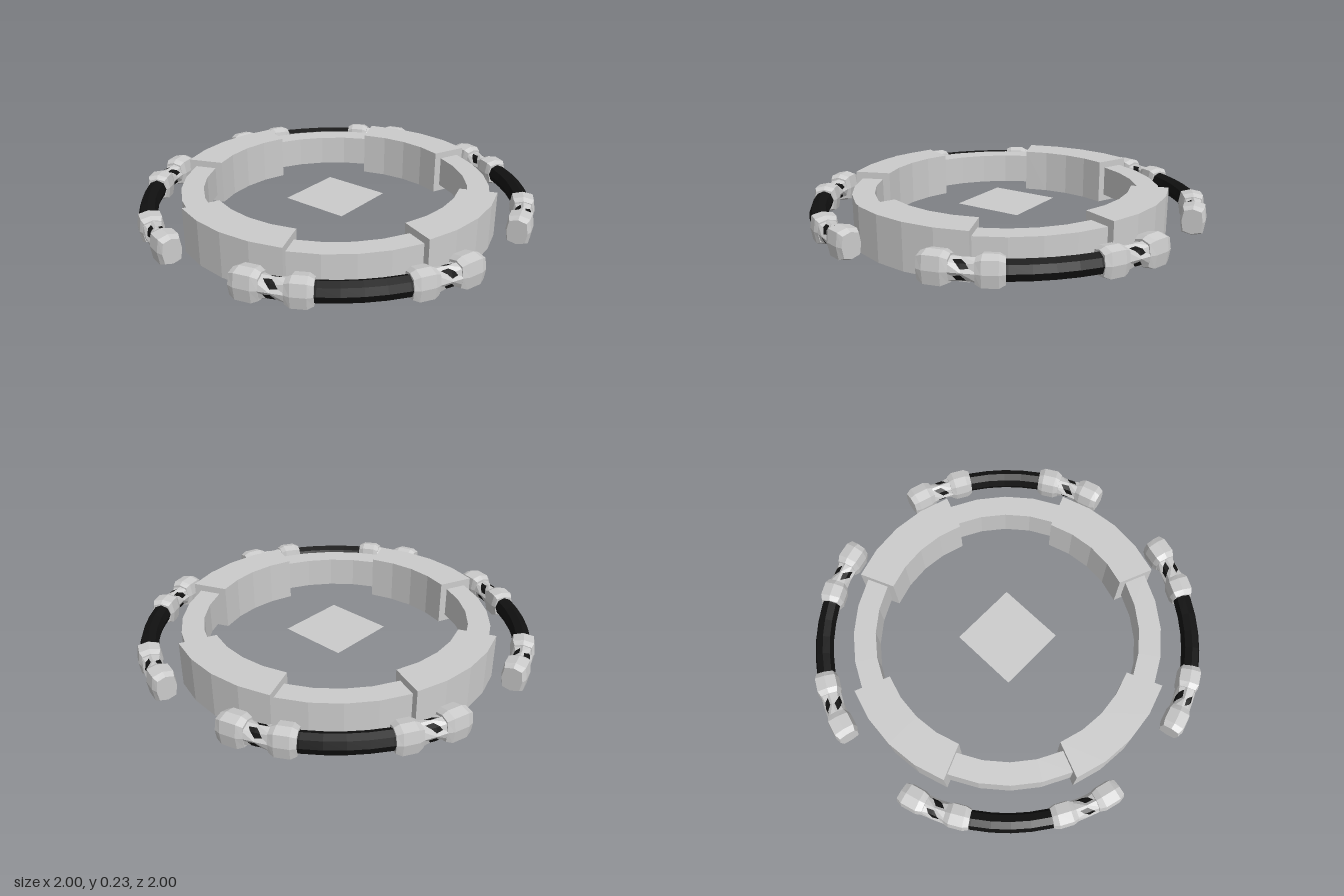
import * as THREE from 'three';

const MID = 0.115; // mid height of the whole model
const RAIL = 0.952; // centre radius of the outer rails
const grey = new THREE.MeshStandardMaterial({ color: 0xcccccc, flatShading: true });
const black = new THREE.MeshStandardMaterial({ color: 0x111111, flatShading: true });
const sheet = new THREE.MeshStandardMaterial({ color: 0xcccccc, side: THREE.DoubleSide });

// Sweeps sections round the y axis; stations are { deg, pts: [[radius, height], ...] }, deg rising from +z to +x.
function sweep(stations) {
  const n = stations[0].pts.length, last = (stations.length - 1) * n;
  const pos = [], idx = [];
  for (const { deg, pts } of stations) {
    const a = THREE.MathUtils.degToRad(deg);
    for (const [r, y] of pts) pos.push(r * Math.sin(a), y, r * Math.cos(a));
  }
  for (let k = 0; k < last; k += n) {
    for (let i = 0; i < n; i++) {
      const j = (i + 1) % n;
      idx.push(k + i, k + n + i, k + j, k + n + i, k + n + j, k + j);
    }
  }
  // end caps
  for (let i = 1; i < n - 1; i++) idx.push(0, i, i + 1, last, last + i + 1, last + i);
  const g = new THREE.BufferGeometry();
  g.setAttribute('position', new THREE.Float32BufferAttribute(pos, 3));
  g.setIndex(idx);
  g.computeVertexNormals();
  return g;
}

// Eight-sided section: half width, half height and how far the diagonals reach (0.71 round, 1 square).
function octagon(hr, hv, diag) {
  const pts = [];
  for (let i = 0; i < 8; i++) {
    const t = (i * Math.PI) / 4, s = i % 2 ? diag / Math.SQRT1_2 : 1;
    pts.push([RAIL + hr * s * Math.cos(t), MID + hv * s * Math.sin(t)]);
  }
  return pts;
}

// Constant section from one angle to another in equal steps
function arc(from, to, steps, pts) {
  return sweep(Array.from({ length: steps + 1 }, (_, i) => ({ deg: from + ((to - from) * i) / steps, pts })));
}

const rect = (inner, outer, h) => [[outer, MID - h], [outer, MID + h], [inner, MID + h], [inner, MID - h]];

// Stations [deg, half width, half height, diagonal], optionally mirrored to the other side
function loft(rows, mirror) {
  const list = rows.map(([deg, hr, hv, d]) => ({ deg: mirror ? -deg : deg, pts: octagon(hr, hv, d) }));
  return sweep(mirror ? list.reverse() : list);
}

function barrel(a, b, hv) {
  const d = b - a;
  return [[a, 0.05, hv - 0.013, 0.82], [a + d * 0.22, 0.06, hv, 0.84], [a + d * 0.78, 0.06, hv, 0.84], [b, 0.05, hv - 0.013, 0.82]];
}

export function createModel() {
  const model = new THREE.Group();
  const add = (parent, name, geometry, material) => {
    const mesh = new THREE.Mesh(geometry, material);
    mesh.name = name;
    parent.add(mesh);
  };

  // shared geometry for one quarter
  const thin = arc(-22.5, 22.5, 4, rect(0.675, 0.787, 0.08));
  const thick = arc(22.5, 67.5, 4, rect(0.637, 0.823, 0.115));
  const rail = arc(-28.125, 28.125, 5 * 2, octagon(0.047, 0.05, 0.71));
  const parts = {
    innerCollar: barrel(11.8, 19, 0.07),
    outerCollar: barrel(25.3, 33.2, 0.075),
    collarNeck: [[18, 0.052, 0.054, 0.8], [22.3, 0.05, 0.053, 0.6], [26.5, 0.052, 0.054, 0.8]],
  };

  for (let q = 0; q < 4; q++) {
    const quarter = new THREE.Group();
    quarter.name = 'quarter';
    quarter.rotation.y = (q * Math.PI) / 2;
    add(quarter, 'thinRingSegment', thin, grey);
    add(quarter, 'thickRingSegment', thick, grey);
    add(quarter, 'outerRail', rail, black);
    // collars at both ends of the rail
    for (const mirror of [false, true]) {
      for (const name in parts) add(quarter, name, loft(parts[name], mirror), grey);
    }
    model.add(quarter);
  }

  // flat diamond in the centre
  const plate = new THREE.PlaneGeometry(0.357, 0.357).rotateZ(Math.PI / 4).rotateX(-Math.PI / 2);
  add(model, 'centrePlate', plate.translate(0, MID, 0), sheet);
  return model;
}
